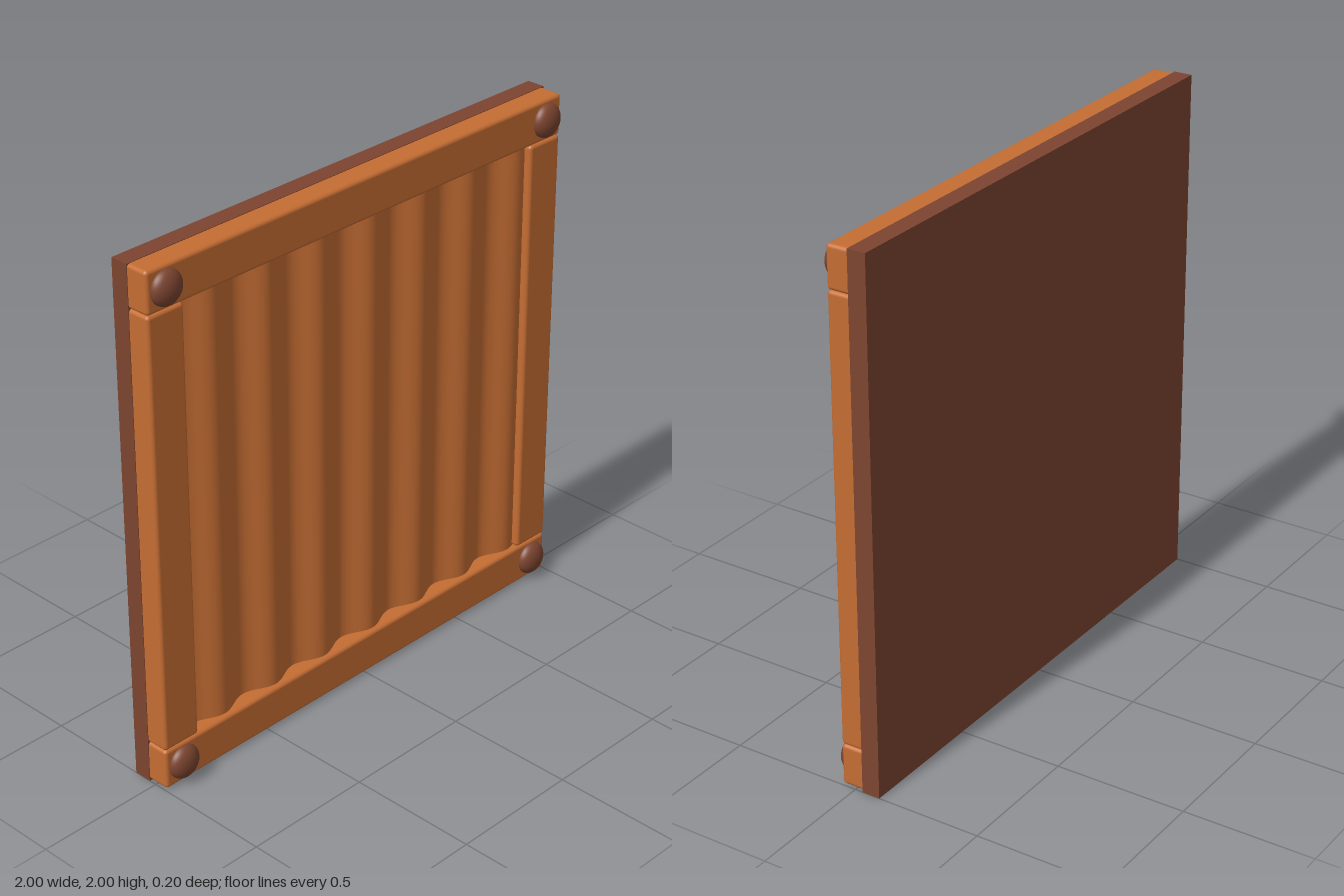
import * as THREE from 'three';
import { RoundedBoxGeometry } from 'three/addons/geometries/RoundedBoxGeometry.js';

export function createModel() {
  const model = new THREE.Group();
  model.name = 'framedPanel';

  const orange = new THREE.MeshStandardMaterial({ color: 0xc56d33 });
  orange.name = 'orange wood';
  const brown = new THREE.MeshStandardMaterial({ color: 0x7d4530 });
  brown.name = 'dark brown';

  const add = (name, geometry, material, x, y, z) => {
    const mesh = new THREE.Mesh(geometry, material);
    mesh.name = name;
    mesh.position.set(x, y, z);
    model.add(mesh);
    return mesh;
  };

  // Flat backing board
  add('backing', new THREE.BoxGeometry(2, 2, 0.07), brown, 0, 1, -0.065);

  // Rippled inner panel, its ends tucked into the frame
  const ripple = new THREE.PlaneGeometry(1.7, 1.7, 168, 1);
  const pos = ripple.attributes.position;
  for (let i = 0; i < pos.count; i++) {
    pos.setZ(i, 0.015 + 0.02 * Math.sin(8 * Math.PI * (pos.getX(i) + 0.008)));
  }
  ripple.computeVertexNormals();
  add('ripplePanel', ripple, orange, 0, 1.002, 0);

  // Frame: full-width rails with stiles between them, rounded at the front
  const rail = new RoundedBoxGeometry(1.996, 0.158, 0.106, 3, 0.014);
  add('bottomRail', rail, orange, 0, 0.084, 0.003);
  add('topRail', rail, orange, 0, 1.919, 0.003);
  const stile = new RoundedBoxGeometry(0.158, 1.676, 0.106, 3, 0.014);
  for (const [side, name] of [[-1, 'rightStile'], [1, 'leftStile']]) {
    add(name, stile, orange, side * 0.919, 1.0015, 0.003);
  }

  // Domed studs on the four corners
  const stud = new THREE.SphereGeometry(0.065, 32, 20);
  for (const x of [-0.917, 0.917]) {
    for (const y of [0.087, 1.92]) {
      add('cornerStud', stud, brown, x, y, 0.058).scale.z = 0.6;
    }
  }

  return model;
}
